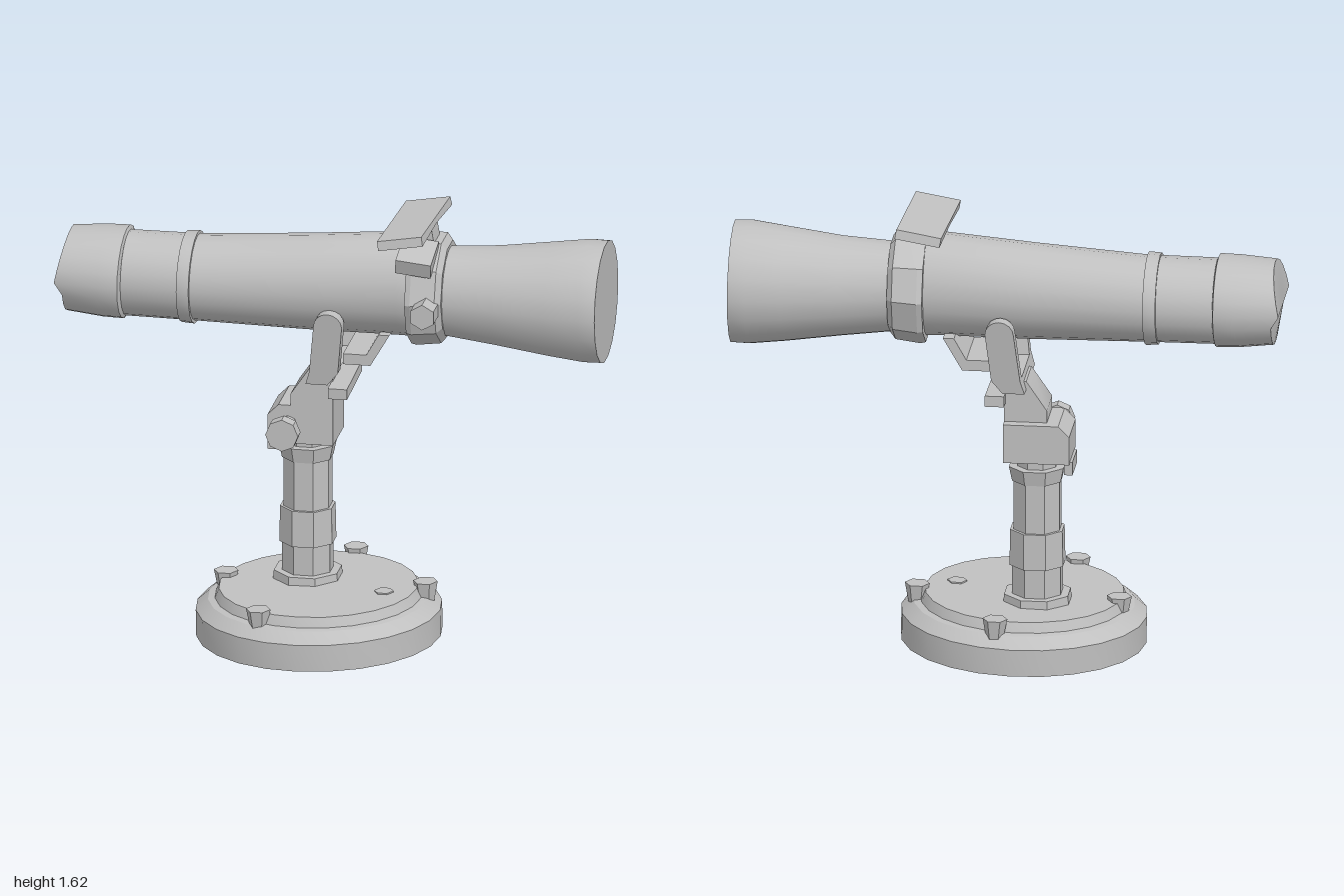
import * as THREE from 'three';
import { toCreasedNormals } from 'three/addons/utils/BufferGeometryUtils.js';

export function createModel() {
  const model = new THREE.Group();
  model.name = 'telescope';
  const grey = new THREE.MeshStandardMaterial({ color: 0xc0c0c0 });
  grey.name = 'plain grey';

  function add(name, geometry, parent = model, crease = 0.6) {
    const mesh = new THREE.Mesh(toCreasedNormals(geometry, crease), grey);
    mesh.name = name;
    parent.add(mesh);
    return mesh;
  }

  // Round body along x; each section is [x, centre y, y radius, z radius]
  function loft(sections, sides, cz = -0.023) {
    const n = sections.length - 1;
    const g = new THREE.CylinderGeometry(1, 1, 1, sides, n).rotateZ(-Math.PI / 2);
    const p = g.attributes.position;
    for (let i = 0; i < p.count; i++) {
      const [x, cy, ry, rz] = sections[Math.round((p.getX(i) + 0.5) * n)];
      p.setXYZ(i, x, cy + ry * p.getY(i), cz + rz * p.getZ(i));
    }
    return g;
  }

  // Side profile in x, y extruded from z0 to z1
  function slab(points, z0, z1) {
    const shape = new THREE.Shape(points.map(([x, y]) => new THREE.Vector2(x, y)));
    return new THREE.ExtrudeGeometry(shape, { depth: z1 - z0, bevelEnabled: false }).translate(0, 0, z0);
  }

  // Upright faceted drum
  function drum(rTop, rBottom, y0, y1, sides, x, z) {
    return new THREE.CylinderGeometry(rTop, rBottom, y1 - y0, sides)
      .rotateY(Math.PI / sides).translate(x, (y0 + y1) / 2, z);
  }

  // Hollow round base, leaning slightly, with four pegs
  const base = new THREE.Group();
  base.name = 'base';
  base.position.set(-0.055, 0.009, 0);
  base.rotation.z = 0.02;
  model.add(base);
  const baseProfile = [[0, 0.13], [0.39, 0.13], [0.41, 0], [0.445, 0], [0.445, 0.1],
    [0.4, 0.138], [0.375, 0.142], [0.36, 0.178], [0, 0.178]];
  add('baseShell', new THREE.LatheGeometry(baseProfile.map(([r, y]) => new THREE.Vector2(r, y)), 24), base, 0.4);
  for (const [x, z] of [[0.385, -0.04], [0.065, -0.38], [-0.155, 0.34], [-0.35, -0.06]]) {
    add('basePeg', drum(0.045, 0.03, 0.115, 0.195, 6, x, z), base, 0.3);
  }
  add('baseDisc', drum(0.035, 0.035, 0.176, 0.183, 6, 0.25, 0.05), base, 0.3);

  // Stepped octagonal column
  const columnX = -0.115, columnZ = -0.09;
  for (const [name, rTop, rBottom, y0, y1] of [
    ['columnFlange', 0.125, 0.135, 0.115, 0.215],
    ['lowerColumn', 0.095, 0.095, 0.2, 0.33],
    ['middleColumn', 0.102, 0.105, 0.325, 0.46],
    ['upperColumn', 0.09, 0.09, 0.455, 0.66],
    ['columnCollar', 0.107, 0.095, 0.645, 0.7],
    ['columnNeck', 0.075, 0.075, 0.69, 0.74],
  ]) add(name, drum(rTop, rBottom, y0, y1, 8, columnX, columnZ), model, 0.3);

  // Pivot head with its side knob
  add('pivotHead', slab([[-0.24, 0.73], [0, 0.73], [0, 0.875], [-0.2, 0.875], [-0.24, 0.835]], -0.18, 0.03));
  add('pivotLip', slab([[-0.25, 0.685], [-0.22, 0.685], [-0.22, 0.735], [-0.25, 0.735]], -0.16, -0.02));
  const rod = (r, z0, z1, x, y, sides) => new THREE.CylinderGeometry(r, r, z1 - z0, sides)
    .rotateX(Math.PI / 2).translate(x, y, (z0 + z1) / 2);
  add('knobShaft', rod(0.035, 0.02, 0.11, -0.165, 0.8, 8));
  add('knobHead', rod(0.06, 0.1, 0.15, -0.165, 0.8, 8));

  // Slanted neck with a cross plate
  add('neck', slab([[-0.155, 0.87], [0, 0.87], [0, 1.03], [-0.08, 1.03], [-0.155, 0.92]], -0.14, 0.03));
  add('crossPlate', new THREE.BoxGeometry(0.07, 0.04, 0.29).rotateX(0.04).translate(0.03, 0.96, -0.045));

  // Fork: crossbar and two round-topped arms leaning outward
  add('forkBar', slab([[-0.08, 1], [0, 1], [0.035, 1.05], [-0.065, 1.05]], -0.195, 0.12));
  const armPoints = [[-0.08, 1], [0, 1], [0.04, 1.05]];
  for (let i = 0; i <= 8; i++) {
    const a = Math.PI * i / 8;
    armPoints.push([0.008 + 0.052 * Math.cos(a), 1.235 + 0.052 * Math.sin(a)]);
  }
  armPoints.push([-0.065, 1.05]);
  for (const side of [1, -1]) {
    const g = slab(armPoints, -0.025, 0.025);
    const p = g.attributes.position;
    for (let i = 0; i < p.count; i++) {
      p.setZ(i, p.getZ(i) - 0.03 + side * (0.18 + 0.16 * (p.getY(i) - 1.24)));
    }
    add('forkArm', g);
  }

  // Bent bracket under the tube
  add('lowerBracket', slab([[0.05, 1.07], [0.15, 1.07], [0.22, 1.19], [0.18, 1.19], [0.135, 1.11], [0.05, 1.11]], -0.16, 0.095));

  // Main tube, ring and flared front
  add('mainTube', loft([[-0.8, 1.325, 0.155, 0.16], [-0.5, 1.325, 0.157, 0.162], [-0.1, 1.337, 0.175, 0.166],
    [0.25, 1.353, 0.19, 0.168], [0.36, 1.345, 0.185, 0.168]], 20));
  add('tubeRing', loft([[-0.553, 1.325, 0.165, 0.175], [-0.507, 1.325, 0.168, 0.178]], 20));
  add('flaredBarrel', loft([[0.36, 1.335, 0.165, 0.16], [0.42, 1.335, 0.166, 0.16], [0.6, 1.33, 0.183, 0.178],
    [0.8, 1.33, 0.21, 0.208], [0.93, 1.332, 0.226, 0.226], [0.993, 1.332, 0.224, 0.228]], 18));

  // Eyepiece: upper end slopes out to a ridge at mid height
  const eyepiece = loft([[-0.97, 1.33, 0.153, 0.178], [-0.84, 1.328, 0.165, 0.192], [-0.765, 1.328, 0.166, 0.198],
    [-0.76, 1.328, 0.156, 0.175]], 20);
  const ep = eyepiece.attributes.position;
  for (let i = 0; i < ep.count; i++) {
    const h = (ep.getY(i) - 1.33) / 0.153;
    if (ep.getX(i) < -0.96) ep.setX(i, h > -0.2 ? -1 + 0.03 * Math.abs(h) : -0.972);
  }
  add('eyepiece', eyepiece, model, 0.45);

  // Clamp around the tube with a side screw
  add('clampRing', loft([[0.29, 1.34, 0.203, 0.203], [0.31, 1.34, 0.207, 0.21], [0.4, 1.345, 0.2, 0.205],
    [0.42, 1.345, 0.175, 0.18]], 10), model, 0.3);
  add('clampScrew', rod(0.048, 0.16, 0.253, 0.37, 1.325, 6), model, 0.3);
  add('clampBlock', new THREE.BoxGeometry(0.13, 0.06, 0.14).rotateX(0.35).rotateZ(-0.1).translate(0.325, 1.505, 0.115));

  // Tilted top plate on a short post, thinner along its raised middle
  add('platePost', new THREE.BoxGeometry(0.09, 0.08, 0.11).rotateZ(0.17).translate(0.325, 1.555, -0.01));
  const plate = new THREE.BoxGeometry(0.165, 0.034, 0.45, 1, 1, 4);
  const pp = plate.attributes.position;
  for (let i = 0; i < pp.count; i++) {
    const z = pp.getZ(i);
    if (pp.getY(i) < 0) pp.setY(i, -0.017 + 0.012 * (1 - Math.abs(z) / 0.225));
    else pp.setZ(i, z * 0.97);
    pp.setX(i, pp.getX(i) - 0.05 * z);
  }
  add('topPlate', plate.rotateZ(0.17).translate(0.292, 1.589, -0.008), model, 0.3);

  return model;
}
